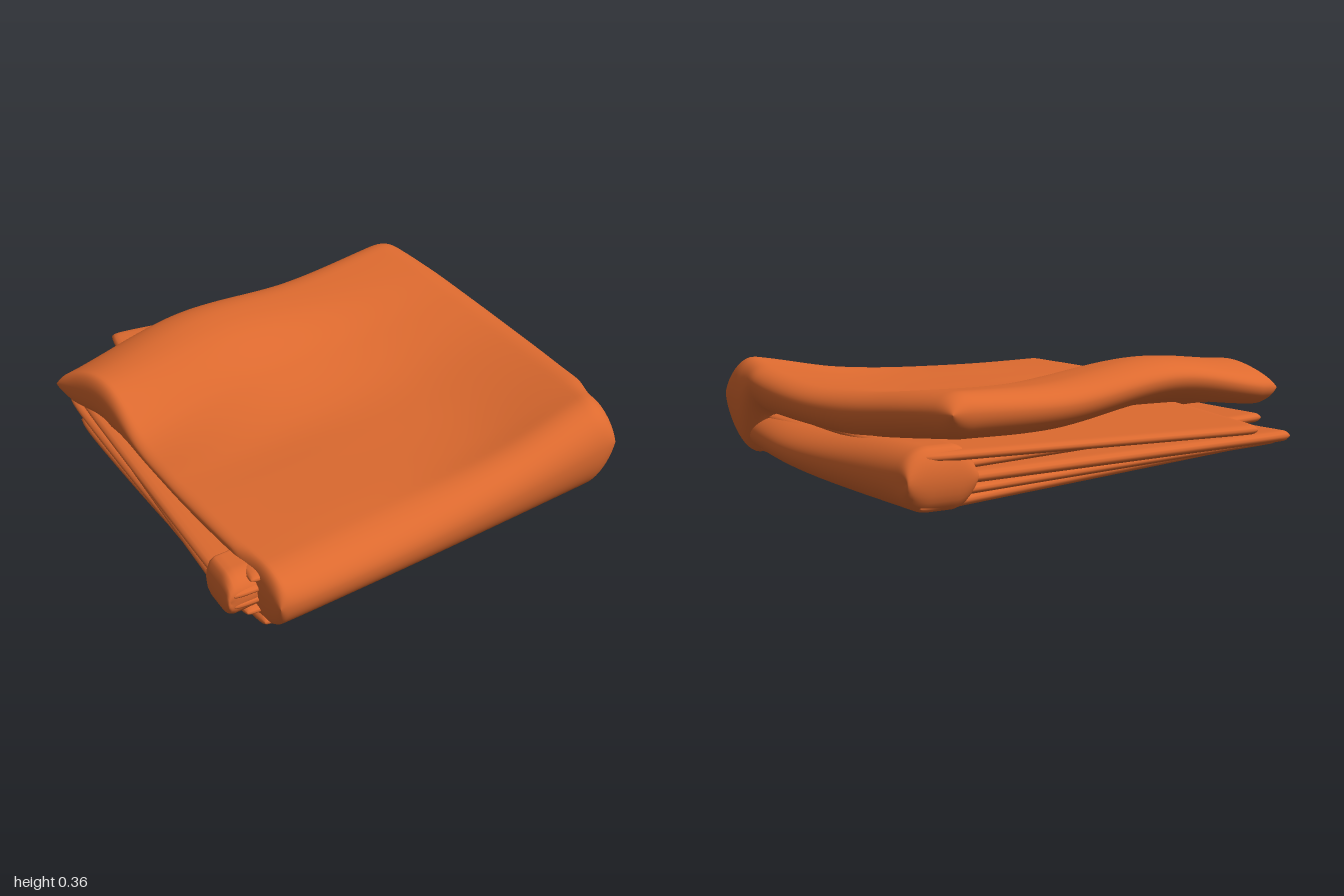
import * as THREE from 'three';
import { mergeVertices } from 'three/addons/utils/BufferGeometryUtils.js';

const cloth = new THREE.MeshStandardMaterial({ color: 0xdd6a2f });
cloth.name = 'orange cloth';

// Smooth curve through evenly spaced values
function spline(v, u) {
  const n = v.length - 1, k = Math.min(Math.floor(u * n), n - 1), f = u * n - k;
  const a = v[Math.max(k - 1, 0)], b = v[k], c = v[k + 1], d = v[Math.min(k + 2, n)];
  return b + 0.5 * f * (c - a + f * (2 * a - 5 * b + 4 * c - d + f * (3 * (b - c) + d - a)));
}
const smooth = (a, b, x) => THREE.MathUtils.smoothstep(x, a, b);

// Rounded falloff near the two ends of a 0..1 range
function rim(u, r0, r1) {
  const g = (d, r) => Math.sqrt(Math.max(0, 1 - (1 - Math.min(d / r, 1)) ** 2));
  return g(u, r0) * g(1 - u, r1);
}

// Closed layer of cloth over four corners [front, right, back, left].
// s runs from the front-left edge to the back-right edge, t from front-right to back-left.
// radii(s) gives the edge rounding at s = 0, s = 1, t = 0 and t = 1.
function layer(name, { corners, top, bottom, radii, mid = 0.5, warp = (s) => s, n = 48 }) {
  const [A, B, C, D] = corners;
  const pos = [], idx = [], row = n + 1;
  const ease = (i) => 0.5 - 0.5 * Math.cos((Math.PI * i) / n);
  for (const isTop of [true, false]) {
    for (let i = 0; i <= n; i++) {
      for (let j = 0; j <= n; j++) {
        const s = ease(i), t = ease(j), w = warp(s, t);
        const [s0, s1, t0, t1] = radii(s);
        const f = rim(s, s0, s1) * rim(t, t0, t1);
        // soften the plan corners a little
        const k = 1 - 0.015 * (Math.abs(2 * s - 1) * Math.abs(2 * t - 1)) ** 16;
        const p = [0, 1].map((c) =>
          k * ((1 - w) * (1 - t) * A[c] + w * (1 - t) * B[c] + w * t * C[c] + (1 - w) * t * D[c]));
        const hi = top(s, t), lo = bottom(s, t), m = lo + (hi - lo) * mid;
        pos.push(p[0], m + f * ((isTop ? hi : lo) - m), p[1]);
      }
    }
  }
  for (let side = 0; side < 2; side++) {
    for (let i = 0; i < n; i++) {
      for (let j = 0; j < n; j++) {
        const a = side * row * row + i * row + j, b = a + row;
        if (side === 0) idx.push(a, b, b + 1, a, b + 1, a + 1);
        else idx.push(a, b + 1, b, a, a + 1, b + 1);
      }
    }
  }
  let geo = new THREE.BufferGeometry();
  geo.setAttribute('position', new THREE.Float32BufferAttribute(pos, 3));
  geo.setIndex(idx);
  geo = mergeVertices(geo, 1e-5);
  geo.computeVertexNormals();
  const mesh = new THREE.Mesh(geo, cloth);
  mesh.name = name;
  return mesh;
}

export function createModel() {
  const group = new THREE.Group();
  group.name = 'foldedCloth';

  // Heights of the top sheet: rows across s, columns across t
  const heights = [
    [0.2, 0.2, 0.2, 0.195, 0.205, 0.305, 0.285],
    [0.21, 0.215, 0.21, 0.21, 0.26, 0.345, 0.36],
    [0.26, 0.23, 0.22, 0.225, 0.26, 0.31, 0.325],
    [0.335, 0.31, 0.29, 0.285, 0.3, 0.325, 0.345],
  ];
  const topHeight = (s, t) => spline(heights.map((r) => spline(r, t)), s);

  // Outer cover: thick fold along the front-right edge, raised roll at the back-left edge
  group.add(layer('topCover', {
    corners: [[0.1, 1.005], [0.935, 0], [-0.02, -0.935], [-0.885, 0.15]],
    top: topHeight,
    bottom: (s, t) => Math.max(topHeight(s, t) - 0.14, 0.155) * smooth(0.1, 0.2, t),
    radii: (s) => [0.025, 0.07, 0.1, 0.13 - 0.07 * s],
    mid: 0.55,
    warp: (s, t) => s + (1 - s) * 0.04 * Math.sin(Math.PI * t ** 2.5) + s * 0.055 * Math.sin(Math.PI * t),
    n: 72,
  }));

  // Lower roll along the back-right edge
  group.add(layer('backRoll', {
    corners: [[0.62, 0.2], [0.87, 0.0], [0.1, -1.005], [-0.08, -0.84]],
    top: (s, t) => 0.14 + 0.05 * smooth(0.3, 1, t),
    bottom: () => 0,
    radii: () => [0.3, 0.4, 0.05, 0.04],
    warp: (s, t) => s + 0.2 * s * Math.sin(Math.PI * t),
  }));

  // Inner fold just inside the front-right edge
  group.add(layer('innerFold', {
    corners: [[-0.05, 1.005], [0.8, 0.0], [0.68, -0.12], [-0.16, 0.88]],
    top: () => 0.175,
    bottom: () => 0.035,
    radii: () => [0.02, 0.03, 0.45, 0.1],
    n: 32,
  }));

  // Inner sheets fanned out at the left corner: [front corner, left corner, bottom, top, rise at the left]
  const sheets = [
    [[0.04, 0.96], [-0.83, 0.09], 0, 0.035, 0.045],
    [[-0.01, 0.97], [-0.9, 0.0], 0.035, 0.065, 0.035],
    [[-0.04, 1.0], [-0.94, -0.1], 0.07, 0.105, 0.025],
    [[-0.04, 1.0], [-0.84, 0.07], 0.11, 0.14, 0.015],
    [[0.0, 0.96], [-0.85, -0.3], 0.145, 0.175, 0],
  ];
  sheets.forEach(([front, left, lo, hi, rise], i) => {
    const lift = (s, t) => rise * (1 - s) * t ** 3;
    group.add(layer('innerSheet' + (i + 1), {
      corners: [front, [0.84, 0.0], [0.07, -0.96], left],
      top: (s, t) => hi + lift(s, t),
      bottom: (s, t) => lo + lift(s, t),
      radii: () => [0.02, 0.03, 0.03, 0.02],
      n: 32,
    }));
  });

  return group;
}
